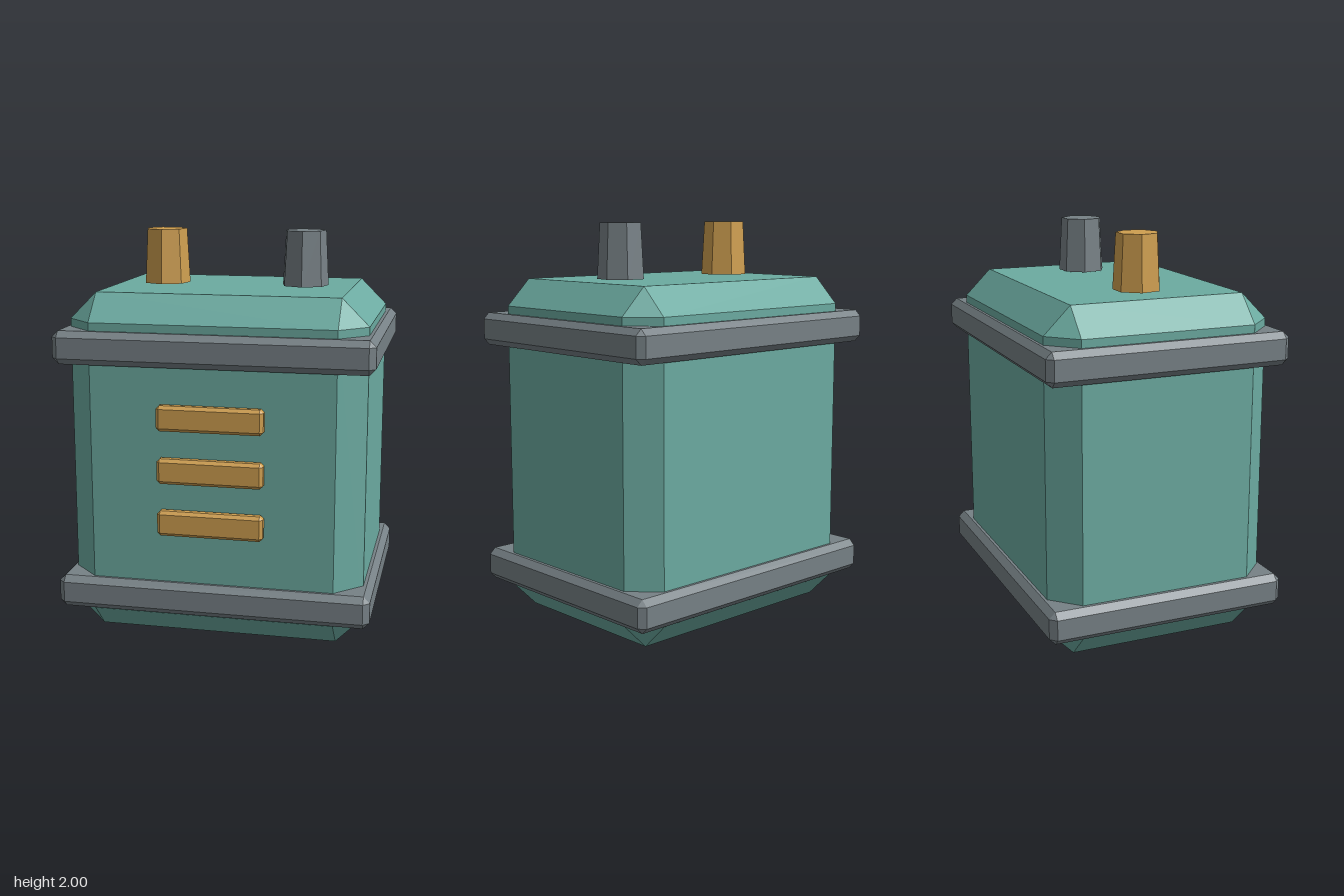
import * as THREE from 'three';
import { ConvexGeometry } from 'three/addons/geometries/ConvexGeometry.js';

// Box with every edge and corner cut at 45 degrees by b
function chamferBox(w, h, d, b) {
  const x = w / 2, y = h / 2, z = d / 2, points = [];
  for (const sx of [-1, 1]) for (const sy of [-1, 1]) for (const sz of [-1, 1]) {
    points.push(
      new THREE.Vector3(sx * x, sy * (y - b), sz * (z - b)),
      new THREE.Vector3(sx * (x - b), sy * y, sz * (z - b)),
      new THREE.Vector3(sx * (x - b), sy * (y - b), sz * z));
  }
  return new ConvexGeometry(points);
}

function flatMaterial(name, color) {
  const m = new THREE.MeshStandardMaterial({ color, flatShading: true });
  m.name = name;
  return m;
}

export function createModel() {
  const group = new THREE.Group();
  const teal = flatMaterial('teal', 0x6caba1);
  const grey = flatMaterial('grey', 0x778186);
  const brass = flatMaterial('brass', 0xcf9f50);

  const add = (name, geometry, material, x, y, z) => {
    const mesh = new THREE.Mesh(geometry, material);
    mesh.name = name;
    mesh.position.set(x, y, z);
    group.add(mesh);
  };
  const midZ = -0.004;

  // Casing with broad chamfers
  add('casing', chamferBox(1.47, 1.718, 1.146, 0.133), teal, 0, 0.859, midZ);

  // Bands around the casing
  const band = chamferBox(1.564, 0.164, 1.236, 0.031);
  add('lowerBand', band, grey, 0, 0.222, midZ);
  add('upperBand', band, grey, 0, 1.463, midZ);

  // Three bars on the front
  const bar = chamferBox(0.524, 0.126, 0.06, 0.016);
  for (let i = 0; i < 3; i++) add('frontBar' + (i + 1), bar, brass, 0, 0.616 + i * 0.262, 0.592);

  // Seven-sided tapered terminals
  const terminal = new THREE.CylinderGeometry(0.105, 0.12, 0.275, 7);
  add('rightTerminal', terminal, brass, -0.36, 1.8625, midZ);
  add('leftTerminal', terminal, grey, 0.36, 1.8625, midZ);

  return group;
}
